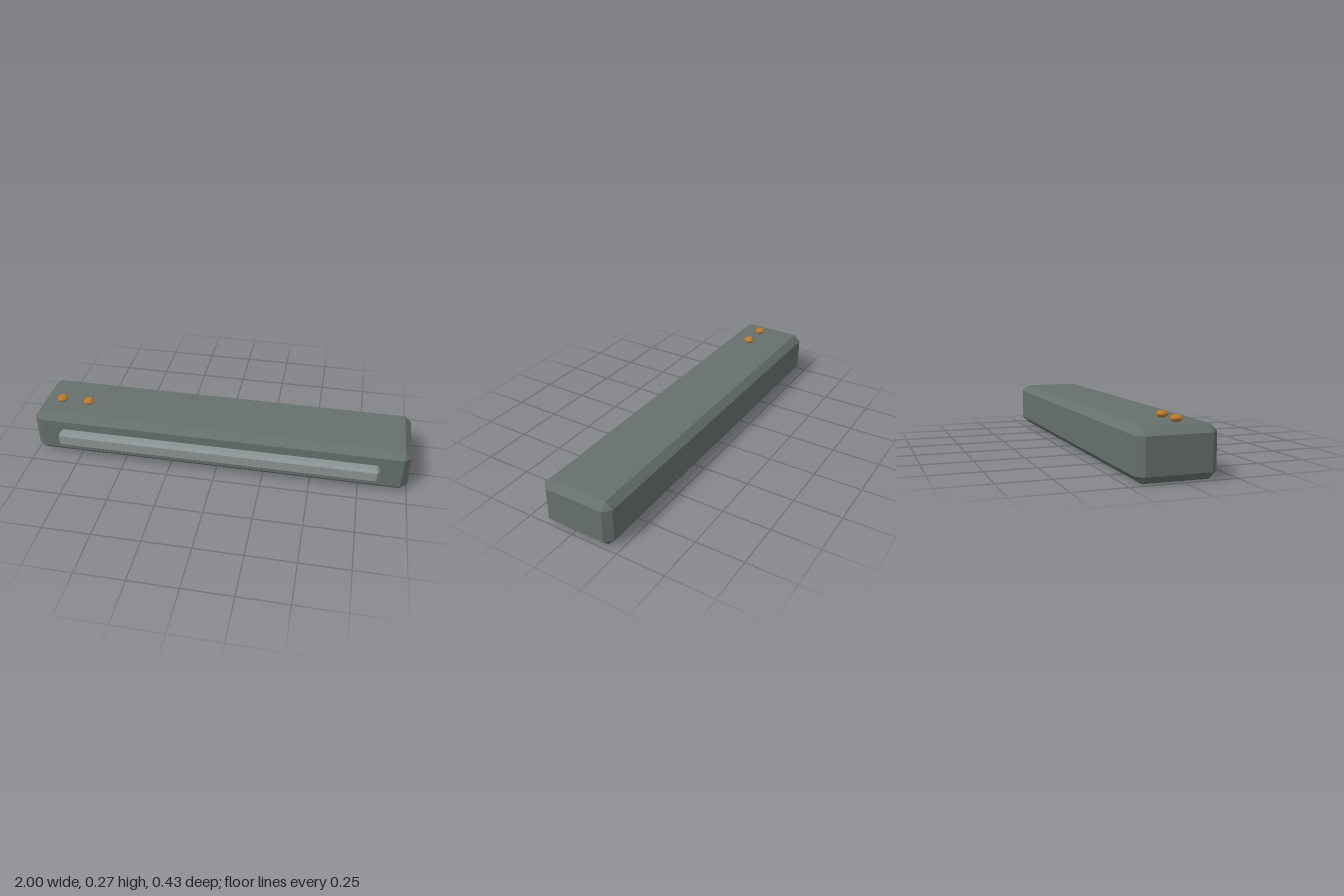
import * as THREE from 'three';
import { ConvexGeometry } from 'three/addons/geometries/ConvexGeometry.js';

// Box with every edge cut at 45 degrees
function chamferBox(w, h, d, c) {
  const points = [];
  for (const sx of [-1, 1]) for (const sy of [-1, 1]) for (const sz of [-1, 1]) {
    for (let axis = 0; axis < 3; axis++) {
      const p = [w / 2, h / 2, d / 2].map((v, i) => (i === axis ? v : v - c));
      points.push(new THREE.Vector3(sx * p[0], sy * p[1], sz * p[2]));
    }
  }
  return new ConvexGeometry(points);
}

export function createModel() {
  const model = new THREE.Group();
  model.name = 'barUnit';

  const bodyGrey = new THREE.MeshStandardMaterial({ color: 0x66706c, flatShading: true });
  bodyGrey.name = 'dark grey green';
  const stripGrey = new THREE.MeshStandardMaterial({ color: 0x8c9394, flatShading: true });
  stripGrey.name = 'light grey';
  const amber = new THREE.MeshStandardMaterial({ color: 0xb87a2a, flatShading: true });
  amber.name = 'amber';

  const add = (name, geometry, material, x, y, z) => {
    const mesh = new THREE.Mesh(geometry, material);
    mesh.name = name;
    mesh.position.set(x, y, z);
    model.add(mesh);
  };

  // Main housing
  add('body', chamferBox(2, 0.24, 0.38, 0.035), bodyGrey, 0, 0.12, -0.025);

  // Raised strip along the front
  add('frontStrip', chamferBox(1.7, 0.08, 0.062, 0.014), stripGrey, 0, 0.12, 0.184);

  // Two bevelled buttons on top, at the right end
  const profile = [[0, -0.015], [0.016, -0.015], [0.028, -0.003], [0.028, 0.003], [0.016, 0.015], [0, 0.015]]
    .map(([r, y]) => new THREE.Vector2(r, y));
  const button = new THREE.LatheGeometry(profile, 16);
  add('outerButton', button, amber, -0.88, 0.256, 0.015);
  add('innerButton', button, amber, -0.73, 0.256, 0.015);

  return model;
}
